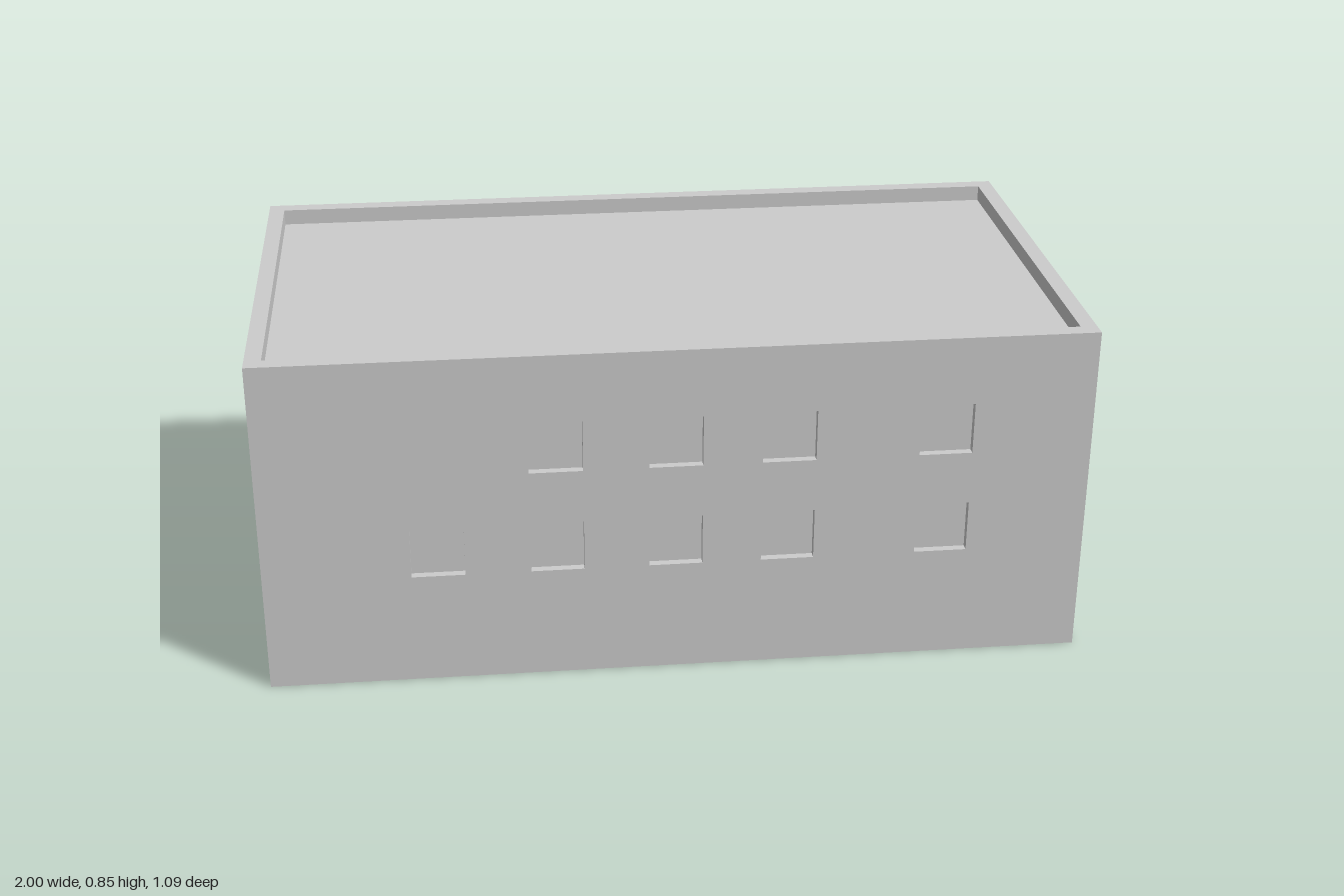
import * as THREE from 'three';

const W = 1, D = 0.546, H = 0.85;      // half width, half depth, height
const WALL = 0.04, RECESS = 0.02, ROOF = 0.81;

const grey = new THREE.MeshStandardMaterial({ color: 0xcccccc });
const green = new THREE.MeshStandardMaterial({ color: 0x00ff00 });

// Openings are [left, bottom, width, height] as seen from outside the wall
const windows = (lefts, bottom) => lefts.map(x => [x, bottom, 0.129, 0.129]);

function rectangle(PathType, x, y, w, h) {
  return new PathType([[x, y], [x + w, y], [x + w, y + h], [x, y + h]]
    .map(p => new THREE.Vector2(...p)));
}

// Upright wall slab with openings, its outer face at the given distance
function makeWall(name, halfLength, distance, angle, openings, hasDoor) {
  const side = new THREE.Group();
  side.name = name;
  side.rotation.y = angle;

  const shape = rectangle(THREE.Shape, -halfLength, 0, 2 * halfLength, H);
  shape.holes = openings.map(o => rectangle(THREE.Path, ...o));
  const wall = new THREE.Mesh(
    new THREE.ExtrudeGeometry(shape, { depth: WALL, bevelEnabled: false }), grey);
  wall.name = name + 'Panel';
  wall.position.z = distance - WALL;
  side.add(wall);

  if (hasDoor) {
    const [x, y, w, h] = openings[0];
    const door = new THREE.Mesh(new THREE.BoxGeometry(w, h, 0.01), green);
    door.name = 'door';
    door.position.set(x + w / 2, y + h / 2, distance - RECESS - 0.003);
    side.add(door);
  }
  return side;
}

export function createModel() {
  const building = new THREE.Group();
  building.name = 'building';

  // Solid core: flat roof, floor and the backs of the window recesses
  const core = new THREE.Mesh(
    new THREE.BoxGeometry(2 * (W - RECESS), ROOF, 2 * (D - RECESS)), grey);
  core.name = 'coreAndRoof';
  core.position.y = ROOF / 2;
  building.add(core);

  // Walls rise above the roof to form the parapet
  const columns = [-0.645, -0.358, -0.072, 0.2, 0.579];
  const frontWindows = [
    ...windows(columns, 0.285),
    ...windows(columns.slice(1), 0.549),
  ];
  const backWindows = windows([-0.378, -0.089, 0.222, 0.533, 0.823], 0.197);
  const sideLength = D - WALL;
  building.add(
    makeWall('frontWall', W, D, 0, frontWindows, false),
    makeWall('backWall', W, D, Math.PI, backWindows, false),
    makeWall('leftWall', sideLength, W, Math.PI / 2, [[-0.022, 0.065, 0.232, 0.28]], true),
    makeWall('rightWall', sideLength, W, -Math.PI / 2, [[-0.287, 0.035, 0.21, 0.232]], true),
  );
  return building;
}
